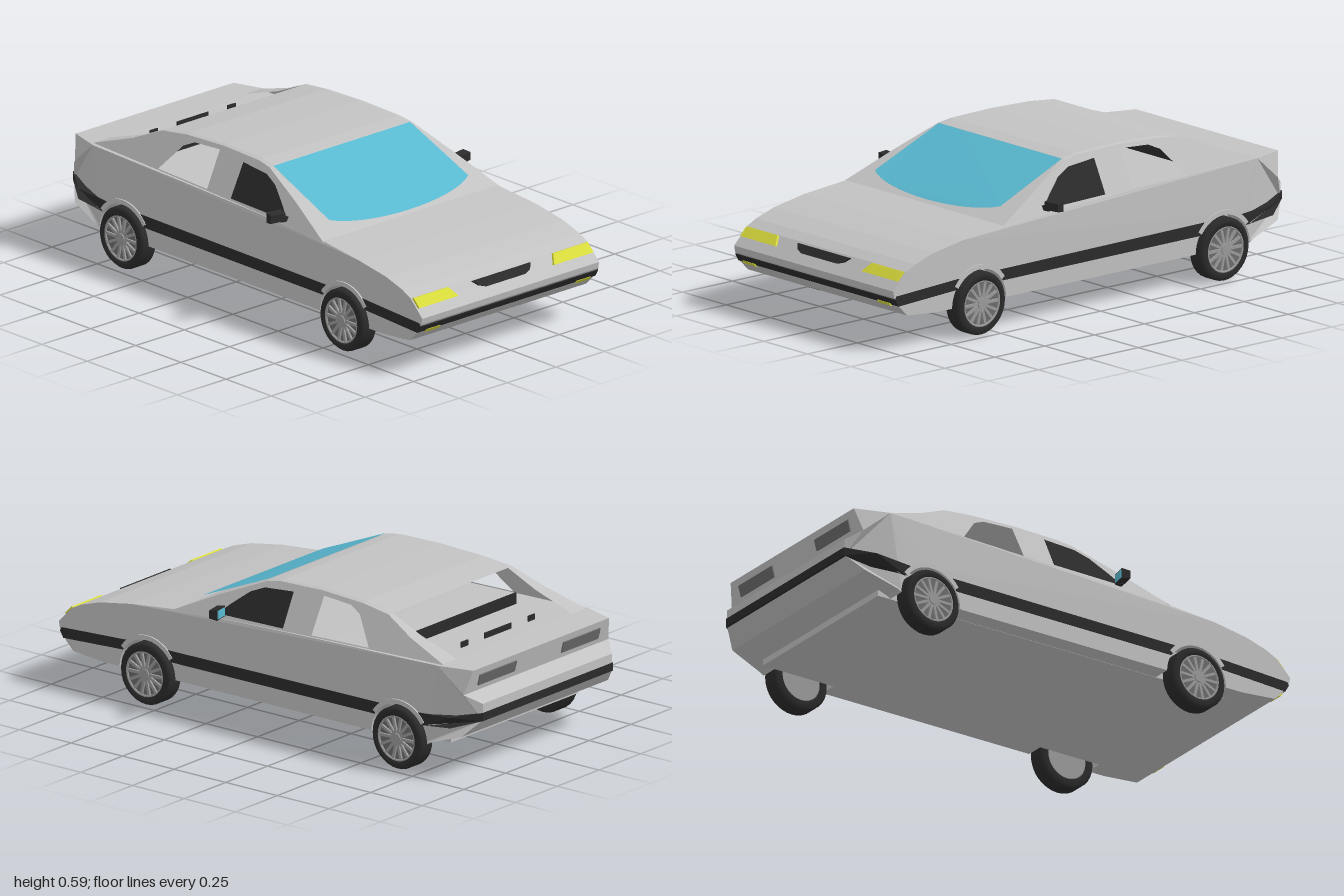
import * as THREE from 'three';

const mat = (name, color, double) => {
  const m = new THREE.MeshStandardMaterial({ color });
  m.name = name;
  if (double) m.side = THREE.DoubleSide;
  return m;
};

export function createModel() {
  const car = new THREE.Group();
  car.name = 'coupe';
  const paint = mat('silver paint', 0xc2c2c2, true);
  const black = mat('black trim', 0x2b2b2b, true);
  const glass = mat('blue glass', 0x58b8d0, true);
  const yellow = mat('yellow lamp', 0xd9dc3c);
  const steel = mat('wheel steel', 0x9c9c9c);
  const shade = mat('dark grey', 0x6c6c6c);

  const add = (name, geo, material, parent = car) => {
    const m = new THREE.Mesh(geo, material);
    m.name = name;
    parent.add(m);
    return m;
  };
  const poly = pts => new THREE.Shape(pts.map(p => new THREE.Vector2(...p)));
  // Move every vertex by a rule
  const warp = (geo, rule) => {
    const p = geo.attributes.position;
    for (let i = 0; i < p.count; i++) p.setXYZ(i, ...rule(p.getX(i), p.getY(i), p.getZ(i)));
    geo.computeVertexNormals();
    return geo;
  };
  const prism = (shape, depth) =>
    new THREE.ExtrudeGeometry(shape, { depth, bevelEnabled: false, curveSegments: 20 });
  // Tail corners are cut in, shoulders lean in slightly
  const taper = (x, y, z) => {
    const t = THREE.MathUtils.clamp((-0.92 - x) / 0.08, 0, 1);
    return [x, y, z * (1 - 0.15 * t) * (y > 0.38 ? 0.985 : 1)];
  };
  const across = (shape, half) => warp(prism(shape, half * 2).translate(0, 0, -half), taper);

  // Lower body with wheel arches
  const wheelX = [0.57, -0.65], axleY = 0.122;
  const body = poly([[-0.97, 0.44], [-0.83, 0.442], [-0.3, 0.428], [0.1, 0.415], [0.45, 0.4],
    [0.65, 0.38], [0.8, 0.355], [0.89, 0.327], [0.935, 0.305], [1, 0.24], [0.995, 0.215],
    [0.965, 0.17], [0.93, 0.135], [0.78, 0.122]]);
  for (const x of wheelX) body.absarc(x, axleY, 0.135, 0, Math.PI, false);
  [[-0.8, 0.132], [-0.94, 0.18], [-1, 0.245], [-1, 0.31], [-0.945, 0.345]]
    .forEach(p => body.lineTo(...p));
  add('body', across(body, 0.455), paint);
  add('floorTub', new THREE.BoxGeometry(1.6, 0.18, 0.76).translate(-0.04, 0.211, 0), paint);

  // Black band around the body, broken at the arches
  const bands = [
    [[-1.004, 0.275], [-0.9, 0.252], [-0.74, 0.24], [-0.768, 0.195], [-0.9, 0.21], [-1.004, 0.243]],
    [[-0.56, 0.24], [0.48, 0.234], [0.452, 0.19], [-0.532, 0.192]],
    [[0.66, 0.234], [0.985, 0.218], [0.992, 0.205], [0.976, 0.178], [0.688, 0.192]],
  ];
  bands.forEach(b => add('sideBand', across(poly(b), 0.458), black));

  // Wheel arch lips
  for (const x of wheelX) {
    const lip = new THREE.Shape();
    lip.absarc(x, axleY, 0.15, 0.6, Math.PI - 0.6, false);
    lip.absarc(x, axleY, 0.132, Math.PI - 0.6, 0.6, true);
    for (const s of [1, -1]) add('archLip', prism(lip, 0.03).translate(0, 0, s * 0.446 - 0.015), paint);
  }

  // Cabin side panels lean inwards, with an open rear quarter window
  const lean = y => 0.447 - (y - 0.41) * 0.5;
  const sidePts = [[0.45, 0.398], [0.25, 0.492], [0.06, 0.572], [0, 0.582], [-0.2, 0.587],
    [-0.4, 0.579], [-0.53, 0.563], [-0.66, 0.505], [-0.84, 0.445], [-0.84, 0.435], [-0.3, 0.42]];
  const holePts = [[-0.485, 0.437], [-0.4, 0.54], [-0.35, 0.563], [-0.215, 0.571], [-0.21, 0.43]];
  const doorPts = [[-0.075, 0.43], [-0.075, 0.56], [0.06, 0.55], [0.12, 0.525], [0.19, 0.47], [0.24, 0.425]];
  for (const s of [1, -1]) {
    const panel = poly(sidePts);
    panel.holes.push(new THREE.Path(holePts.map(p => new THREE.Vector2(...p))));
    const onSide = (shape, off) => warp(new THREE.ShapeGeometry(shape), (x, y) => [x, y, s * (lean(y) + off)]);
    add('cabinSide', onSide(panel, 0), paint);
    add('doorWindow', onSide(poly(doorPts), 0.004), black);
  }

  // Roof skin: windscreen frame, roof, then two rear sails beside the hatch opening
  const roof = [];
  const quad = (a, b, c, d) => roof.push(...a, ...b, ...c, ...a, ...c, ...d);
  for (let i = 0; i < 8; i++) {
    const [[x0, y0], [x1, y1]] = [sidePts[i], sidePts[i + 1]];
    const cols = (x, y) => [-lean(y), -0.345, 0.345, lean(y)]
      .map((z, k) => [x, y + (k % 3 && y > 0.57 ? 0.004 : 0), z]);
    const a = cols(x0, y0), b = cols(x1, y1);
    for (let k = 0; k < 3; k++)
      if (i < 6 || k !== 1) quad(a[k], b[k], b[k + 1], a[k + 1]);
  }
  const roofGeo = new THREE.BufferGeometry();
  roofGeo.setAttribute('position', new THREE.Float32BufferAttribute(roof, 3));
  roofGeo.computeVertexNormals();
  add('roof', roofGeo, paint);

  // Windscreen with a bowed lower edge
  const screen = poly([[0.065, -0.352], [0.38, -0.358]]);
  screen.bezierCurveTo(0.46, -0.22, 0.46, 0.22, 0.38, 0.358);
  screen.lineTo(0.065, 0.352);
  add('windscreen', warp(new THREE.ShapeGeometry(screen, 16),
    (x, z) => [x, 0.578 - (x - 0.06) * 0.435 + 0.012 * Math.sin(Math.PI * (x - 0.06) / 0.4), -z]), glass);

  // Dark uprights inside the hatch opening
  add('hatchBulkhead', new THREE.BoxGeometry(0.006, 0.05, 0.66).translate(-0.58, 0.455, 0), black);
  for (const [z, w] of [[0, 0.16], [0.2, 0.04], [-0.2, 0.04]])
    add('hatchBar', new THREE.BoxGeometry(0.005, 0.025, w).translate(-0.76, 0.45, z), black);

  // Lamps and grille on the sloping nose, drawn across (z, y)
  const noseX = y => (y > 0.23 ? 1.24 - y : 0.978 + (y - 0.178) * 0.8);
  const nosePlate = (name, pts, material) => add(name,
    warp(prism(poly(pts), 0.009), (a, b, c) => [noseX(b) + c, b + c * 0.3, -a]), material);
  for (const s of [1, -1]) {
    nosePlate('headlamp', [[0.448, 0.304], [0.27, 0.304], [0.246, 0.272], [0.448, 0.272]].map(([z, y]) => [s * z, y]), yellow);
    nosePlate('fogLamp', [[0.42, 0.186], [0.352, 0.186], [0.352, 0.172], [0.42, 0.172]].map(([z, y]) => [s * z, y]), yellow);
  }
  nosePlate('grille', [[-0.15, 0.299], [-0.13, 0.282], [-0.1, 0.273], [0.1, 0.273], [0.13, 0.282], [0.15, 0.299]], black);

  // Tail lamps and door mirrors
  for (const s of [1, -1]) {
    const lamp = add('tailLamp', new THREE.BoxGeometry(0.008, 0.045, 0.22), shade);
    lamp.position.set(-0.958, 0.39, s * 0.25);
    lamp.rotation.z = 0.26;
    const mirror = new THREE.Group();
    mirror.name = 'doorMirror';
    add('mirrorArm', new THREE.BoxGeometry(0.025, 0.018, 0.05).translate(0, -0.012, -s * 0.04), black, mirror);
    add('mirrorShell', warp(new THREE.BoxGeometry(0.034, 0.042, 0.065),
      (x, y, z) => [x, y * (x > 0 ? 0.75 : 1), z]), black, mirror);
    add('mirrorGlass', new THREE.BoxGeometry(0.004, 0.032, 0.054).translate(-0.018, 0, 0), glass, mirror);
    mirror.position.set(0.215, 0.442, s * 0.478);
    mirror.rotation.y = -s * 0.2;
    car.add(mirror);
  }

  // Wheels: rounded tyre, rim dish, spokes and hub
  const tyre = [[0.088, -0.038], [0.112, -0.04], [0.122, -0.028], [0.122, 0.028], [0.112, 0.04], [0.088, 0.038], [0.086, 0.02]]
    .map(p => new THREE.Vector2(...p));
  for (const x of wheelX) for (const s of [1, -1]) {
    const wheel = new THREE.Group();
    wheel.name = 'wheel';
    add('tyre', new THREE.LatheGeometry(tyre, 32).rotateX(Math.PI / 2), black, wheel);
    add('rimDish', new THREE.CylinderGeometry(0.09, 0.09, 0.056, 32).rotateX(Math.PI / 2), shade, wheel);
    add('rimEdge', new THREE.TorusGeometry(0.087, 0.005, 6, 32).translate(0, 0, 0.034), steel, wheel);
    add('innerRim', new THREE.CylinderGeometry(0.085, 0.085, 0.01, 32).rotateX(Math.PI / 2).translate(0, 0, -0.03), steel, wheel);
    add('hub', new THREE.CylinderGeometry(0.02, 0.022, 0.012, 16).rotateX(Math.PI / 2).translate(0, 0, 0.034), steel, wheel);
    for (let i = 0; i < 14; i++)
      add('spoke', new THREE.BoxGeometry(0.07, 0.011, 0.01).translate(0.052, 0, 0.031)
        .rotateZ(i * Math.PI / 7), steel, wheel);
    wheel.position.set(x, axleY, s * 0.435);
    if (s < 0) wheel.rotation.y = Math.PI;
    car.add(wheel);
  }
  return car;
}
